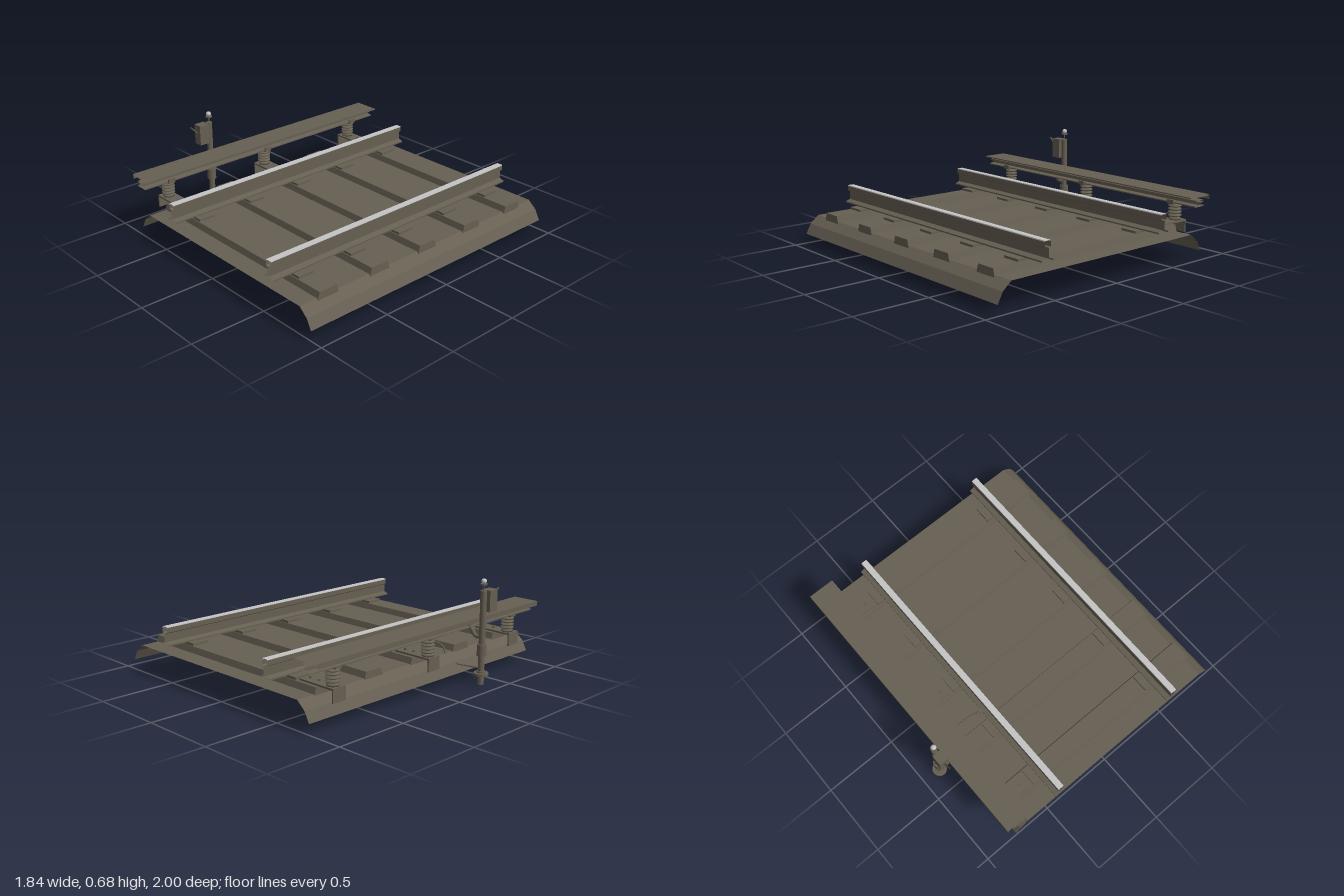
import * as THREE from 'three';

export function createModel() {
  const model = new THREE.Group();
  model.name = 'trackSection';
  const brown = new THREE.MeshStandardMaterial({ color: 0x665f52, side: THREE.DoubleSide });
  brown.name = 'weatheredBrown';
  const steel = new THREE.MeshStandardMaterial({ color: 0xc4c4c4, side: THREE.DoubleSide });
  steel.name = 'polishedSteel';

  const add = (name, geometry, x = 0, y = 0, z = 0, material = brown, parent = model) => {
    const mesh = new THREE.Mesh(geometry, material);
    mesh.name = name;
    mesh.position.set(x, y, z);
    parent.add(mesh);
    return mesh;
  };
  const box = (name, x0, x1, y0, y1, z0, z1, parent = model) =>
    add(name, new THREE.BoxGeometry(x1 - x0, y1 - y0, z1 - z0),
      (x0 + x1) / 2, (y0 + y1) / 2, (z0 + z1) / 2, brown, parent);
  const cyl = (name, r, y0, y1, x, z, parent = model, sides = 20, material = brown) =>
    add(name, new THREE.CylinderGeometry(r, r, y1 - y0, sides), x, (y0 + y1) / 2, z, material, parent);
  const tube = (name, r, points) => add(name, new THREE.TubeGeometry(
    new THREE.CatmullRomCurve3(points.map(p => new THREE.Vector3(...p))), 24, r, 8));

  // Open-ended sheet: an x,y section run along the whole length
  const run = (section, closed = false) => {
    const pos = [];
    const n = section.length;
    for (let i = 0; i < (closed ? n : n - 1); i++) {
      const [ax, ay] = section[i];
      const [bx, by] = section[(i + 1) % n];
      pos.push(ax, ay, -1, ax, ay, 1, bx, by, 1, ax, ay, -1, bx, by, 1, bx, by, -1);
    }
    const g = new THREE.BufferGeometry();
    g.setAttribute('position', new THREE.Float32BufferAttribute(pos, 3));
    g.computeVertexNormals();
    return g;
  };
  // Closed section mirrored from its left half, listed bottom to top
  const mirrored = half => run([...half, ...half.map(([x, y]) => [-x, y]).reverse()], true);

  // Ballast bed with drooping shoulders
  const cx = 0.075;
  const shoulder = [[0.84, 0.064], [0.805, 0.13], [0.745, 0.18]];
  add('ballastBed', run([...shoulder.map(([x, y]) => [-x, y]),
    ...shoulder.slice().reverse()]), cx);

  // Sleepers with the rail pads on top
  const section = new THREE.Shape([[-0.077, 0.15], [0.077, 0.15], [0.077, 0.172],
    [0.064, 0.22], [-0.064, 0.22], [-0.077, 0.172]].map(p => new THREE.Vector2(...p)));
  for (let i = -2; i <= 2; i++) {
    const z = i * 0.4;
    const g = new THREE.ExtrudeGeometry(section, { depth: 1.51, bevelEnabled: false });
    g.translate(0, 0, -0.755);
    g.rotateY(Math.PI / 2);
    add('sleeper', g, cx + 0.003, 0, z);
    for (const x of [-0.405, 0.555]) box('railPad', x - 0.095, x + 0.095, 0.219, 0.235, z - 0.058, z + 0.058);
  }

  // Running rails with a polished top
  for (const x of [-0.403, 0.556]) {
    add('rail', mirrored([[-0.042, 0.235], [-0.042, 0.244], [-0.009, 0.256], [-0.009, 0.31],
      [-0.022, 0.317], [-0.022, 0.348], [-0.019, 0.353]]), x);
    add('railTop', run([[-0.022, 0.346], [-0.02, 0.355], [0.02, 0.355], [0.022, 0.346]]), x, 0, 0, steel);
  }

  // Conductor rail and its protective cover
  add('conductorRail', mirrored([[-0.045, 0.35], [-0.045, 0.357], [-0.01, 0.363], [-0.01, 0.376],
    [-0.035, 0.38], [-0.035, 0.392]]), -0.742);
  add('conductorCover', run([[-0.835, 0.388], [-0.835, 0.418], [-0.655, 0.418], [-0.655, 0.41],
    [-0.829, 0.41], [-0.829, 0.388]], true));

  // Bracket and ribbed insulator at every second sleeper
  const ribs = [[0, 0.235], [0.038, 0.235], [0.038, 0.246], [0.025, 0.25]];
  for (let i = 0; i < 4; i++) {
    const y = 0.255 + i * 0.021;
    ribs.push([0.025, y], [0.043, y + 0.005], [0.043, y + 0.01], [0.025, y + 0.016]);
  }
  ribs.push([0.025, 0.342], [0, 0.342]);
  for (const z of [-0.8, 0, 0.8]) {
    const support = new THREE.Group();
    support.name = 'conductorSupport';
    model.add(support);
    box('bracketPlate', -0.797, -0.525, 0.224, 0.235, z - 0.05, z + 0.05, support);
    box('bracketFlange', -0.797, -0.788, 0.15, 0.228, z - 0.05, z + 0.05, support);
    add('insulator', new THREE.LatheGeometry(ribs.map(p => new THREE.Vector2(...p)), 20), -0.745, 0, z, brown, support);
    box('insulatorCap', -0.79, -0.695, 0.34, 0.352, z - 0.025, z + 0.025, support);
    box('railClip', -0.703, -0.692, 0.345, 0.37, z - 0.025, z + 0.025, support);
    for (const x of [-0.635, -0.565]) cyl('bracketBolt', 0.009, 0.235, 0.245, x, z, support, 6);
  }

  // Signal post
  const px = -0.875, pz = 0.362;
  cyl('post', 0.02, 0, 0.6, px, pz);
  cyl('postFlange', 0.047, 0.06, 0.076, px, pz);
  cyl('postCollar', 0.028, 0.076, 0.088, px, pz);
  cyl('postSleeve', 0.03, 0.185, 0.26, px, pz);
  box('controlBox', -0.908, -0.845, 0.463, 0.6, 0.385, 0.458);
  tube('leverArm', 0.005, [[px, 0.54, 0.455], [px, 0.56, 0.475], [px, 0.598, 0.51]]);
  cyl('lampStem', 0.004, 0.6, 0.636, px, pz, model, 8);
  cyl('lampBase', 0.022, 0.636, 0.645, px, pz);
  add('lamp', new THREE.SphereGeometry(0.017, 20, 14), px, 0.66, pz, steel);

  // Arm to the conductor rail, and the cable to the running rail
  tube('feederArm', 0.014, [[-0.87, 0.305, pz], [-0.825, 0.305, pz], [-0.79, 0.345, pz], [-0.757, 0.378, pz]]);
  add('feederJoint', new THREE.SphereGeometry(0.02, 16, 10), -0.77, 0.372, pz);
  tube('cable', 0.006, [[-0.87, 0.103, pz], [-0.8, 0.107, 0.34], [-0.73, 0.122, 0.29], [-0.68, 0.155, 0.262],
    [-0.65, 0.222, 0.258], [-0.58, 0.238, 0.254], [-0.52, 0.24, 0.26], [-0.455, 0.242, 0.275]]);
  box('cableClamp', -0.465, -0.44, 0.233, 0.25, 0.26, 0.292);

  return model;
}
